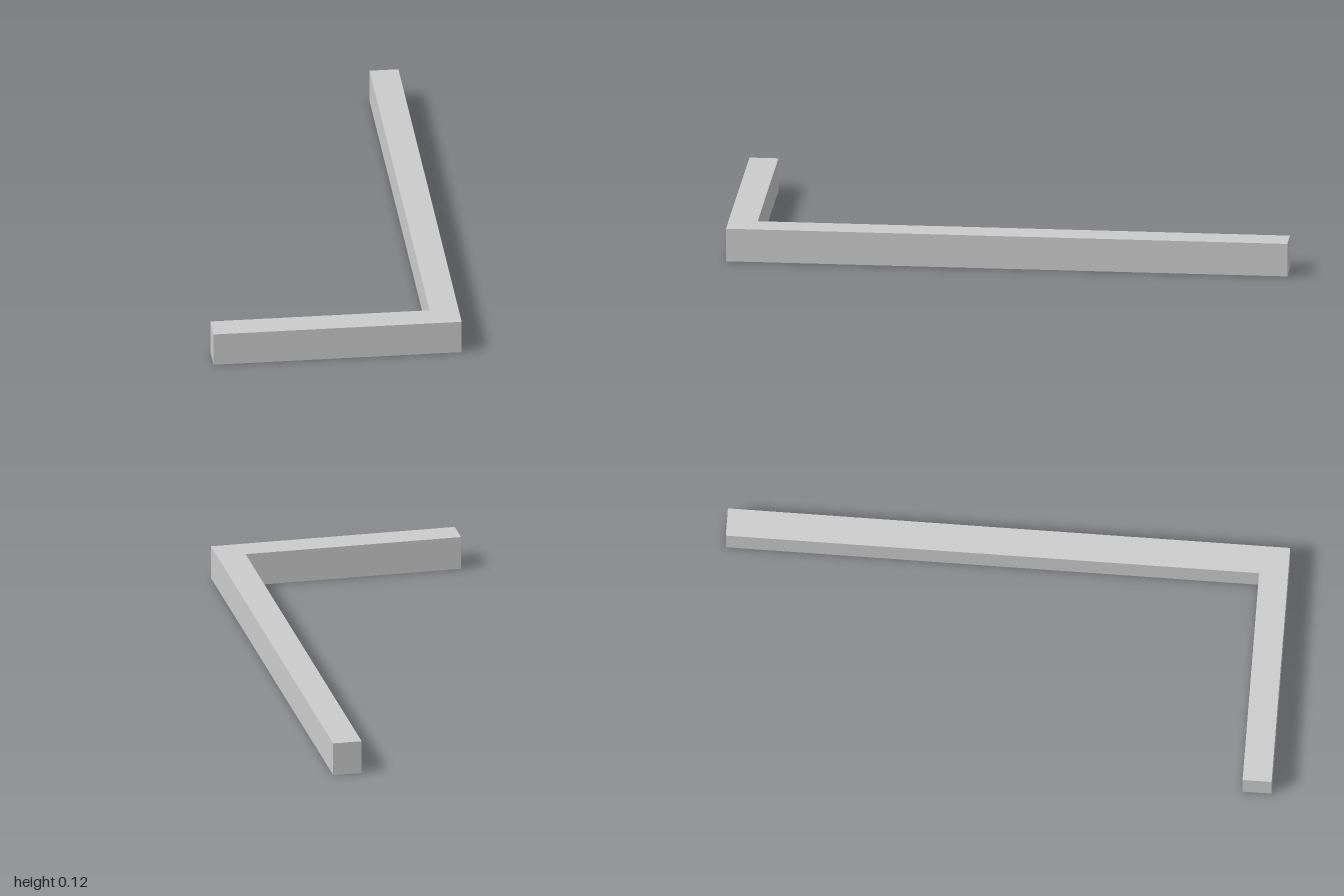
import * as THREE from 'three';

export function createModel() {
  const group = new THREE.Group();
  group.name = 'checkMark';

  const short = 0.614, long = 1.386; // outer arm runs along x; both arms lie at 45 degrees
  const t = 0.0715;                  // end-cap offset along x and z
  const height = 0.118;
  const cx = short - 1;              // outer corner
  const cz = (long + t) / 2;

  // Outline in plan, drawn with y = -z
  const outline = [
    [cx, cz],
    [cx + long, cz - long],
    [cx + long - t, cz - long - t],
    [cx, cz - 2 * t],
    [cx - short + t, cz - short - t],
    [cx - short, cz - short],
  ].map(([x, z]) => new THREE.Vector2(x, -z));

  // Flat bar bent into a tick, raised from the ground plane
  const geometry = new THREE.ExtrudeGeometry(new THREE.Shape(outline), { depth: height, bevelEnabled: false });
  geometry.rotateX(-Math.PI / 2);

  const bar = new THREE.Mesh(geometry, new THREE.MeshStandardMaterial({ color: 0xcccccc }));
  bar.name = 'bentBar';
  group.add(bar);
  return group;
}
